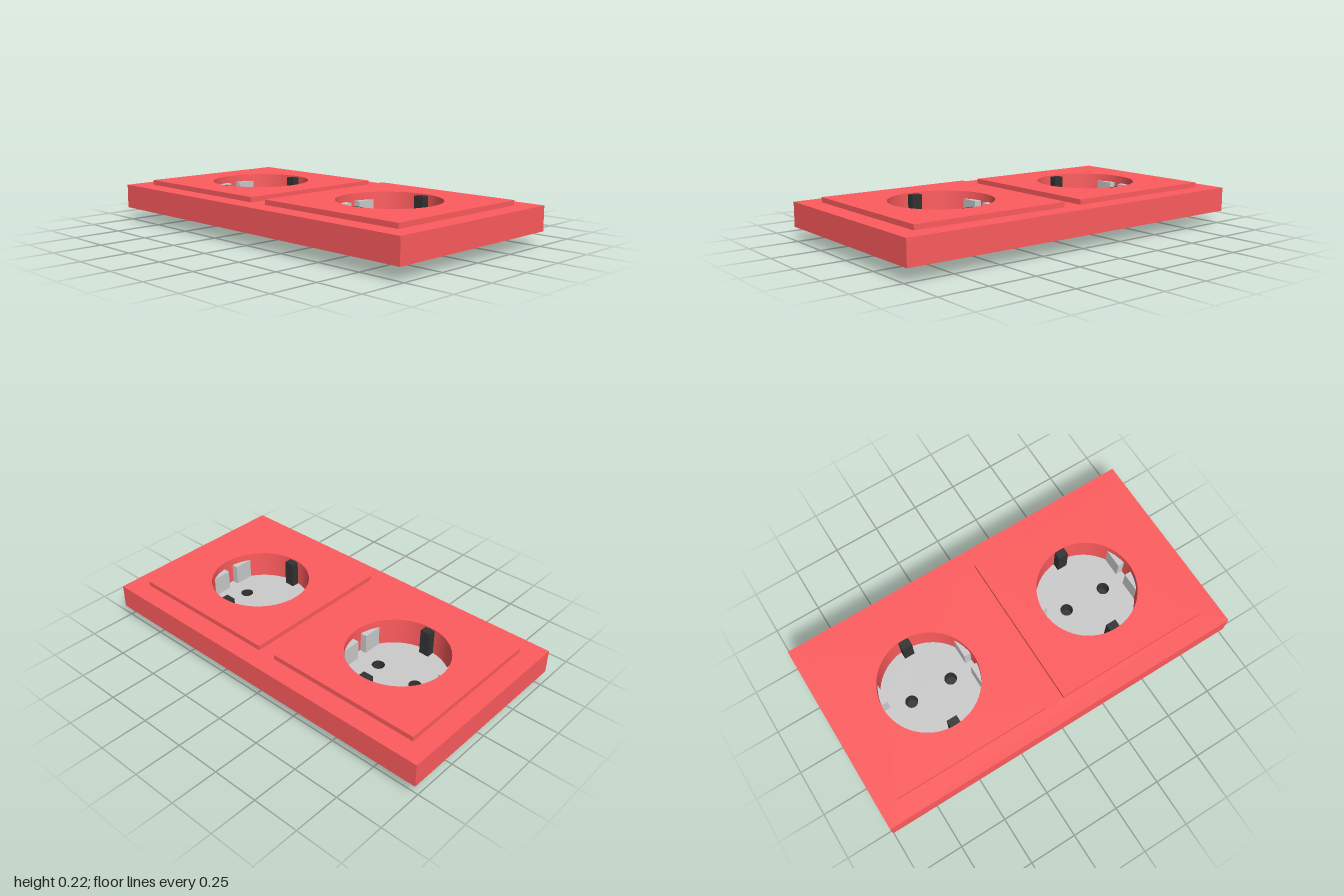
import * as THREE from 'three';

const material = (color) => new THREE.MeshStandardMaterial({ color, side: THREE.DoubleSide });
const red = material(0xff5c5e);
const grey = material(0xcccccc);
const dark = material(0x333333);

// Heights
const RIM = 0.07, FLOOR = 0.078, FRAME = 0.197, PANEL = 0.223;
// Plan sizes
const DEPTH = 1.054, PANEL_SIZE = 0.847, OFFSET = 0.475;
const WELL_R = 0.262, PIN_R = 0.033, PIN_X = 0.116;

function add(parent, name, geometry, mat, x = 0, y = 0, z = 0) {
  const mesh = new THREE.Mesh(geometry, mat);
  mesh.name = name;
  mesh.position.set(x, y, z);
  parent.add(mesh);
  return mesh;
}

// Closed outlines for sheets and their openings
function rect(w, d, cx = 0, Type = THREE.Shape) {
  const x = w / 2, z = d / 2;
  return new Type([[-x, -z], [x, -z], [x, z], [-x, z]].map(([a, b]) => new THREE.Vector2(cx + a, b)));
}
const circle = (r, cx = 0, Type = THREE.Path) => new Type().absarc(cx, 0, r, 0, Math.PI * 2);

// Flat horizontal sheet with openings
function sheet(outline, holes) {
  outline.holes.push(...holes);
  return new THREE.ShapeGeometry(outline, 32).rotateX(-Math.PI / 2);
}

// Four thin upright walls around a rectangle
function walls(w, d, h) {
  const g = new THREE.CylinderGeometry(Math.SQRT1_2, Math.SQRT1_2, 1, 4, 1, true)
    .rotateY(Math.PI / 4).scale(w, h, d).toNonIndexed();
  g.computeVertexNormals();
  return g;
}

// Upright round tube, open at both ends
const tube = (r, h, sides) => new THREE.CylinderGeometry(r, r, h, sides, 1, true);

// Guide block filling the space between a chord and the round well wall
function guideBlock(sx, sz) {
  const r = WELL_R - 0.001, chord = 0.224, gap = 0.03, steps = 8;
  const a0 = Math.asin(gap / r), a1 = Math.acos(chord / r);
  const points = [new THREE.Vector2(sx * chord, sz * gap)];
  for (let i = 0; i <= steps; i++) {
    const a = a0 + (a1 - a0) * i / steps;
    points.push(new THREE.Vector2(sx * r * Math.cos(a), sz * r * Math.sin(a)));
  }
  return new THREE.ExtrudeGeometry(new THREE.Shape(points), { depth: 0.185 - FLOOR, bevelEnabled: false })
    .rotateX(-Math.PI / 2);
}

function createSocket() {
  const socket = new THREE.Group();
  socket.name = 'socket';

  // Raised square panel and round well
  add(socket, 'panelTop', sheet(rect(PANEL_SIZE, PANEL_SIZE), [circle(WELL_R)]), red, 0, PANEL);
  add(socket, 'panelEdge', walls(PANEL_SIZE, PANEL_SIZE, PANEL - FRAME), red, 0, (PANEL + FRAME) / 2);
  add(socket, 'wellWall', tube(WELL_R, PANEL - FLOOR, 64), red, 0, (PANEL + FLOOR) / 2);
  const pinHoles = [-PIN_X, PIN_X].map((x) => circle(PIN_R, x));
  add(socket, 'wellFloor', sheet(circle(WELL_R, 0, THREE.Shape), pinHoles), grey, 0, FLOOR);

  for (const side of [-1, 1]) {
    // Pin sleeve, closed at the bottom
    add(socket, 'pinSleeve', tube(PIN_R, FLOOR, 32), dark, side * PIN_X, FLOOR / 2);
    add(socket, 'pinSleeveBase', new THREE.CircleGeometry(PIN_R, 32).rotateX(Math.PI / 2), dark, side * PIN_X, 0);
    // Earth contact reaching through the well wall
    add(socket, 'earthContact', new THREE.BoxGeometry(0.056, 0.174, 0.066), dark, 0, 0.129, side * 0.252);
    for (const end of [-1, 1]) add(socket, 'guideBlock', guideBlock(side, end), grey, 0, FLOOR);
  }
  return socket;
}

export function createModel() {
  const model = new THREE.Group();
  model.name = 'doubleWallSocket';

  // Hollow cover frame, open underneath
  const openings = [-OFFSET, OFFSET].map((x) => rect(PANEL_SIZE, PANEL_SIZE, x, THREE.Path));
  add(model, 'frameTop', sheet(rect(2, DEPTH), openings), red, 0, FRAME);
  add(model, 'frameWalls', walls(2, DEPTH, FRAME - RIM), red, 0, (FRAME + RIM) / 2);

  for (const side of [-1, 1]) {
    const socket = createSocket();
    socket.name = side > 0 ? 'leftSocket' : 'rightSocket';
    socket.position.x = side * OFFSET;
    model.add(socket);
  }
  return model;
}
